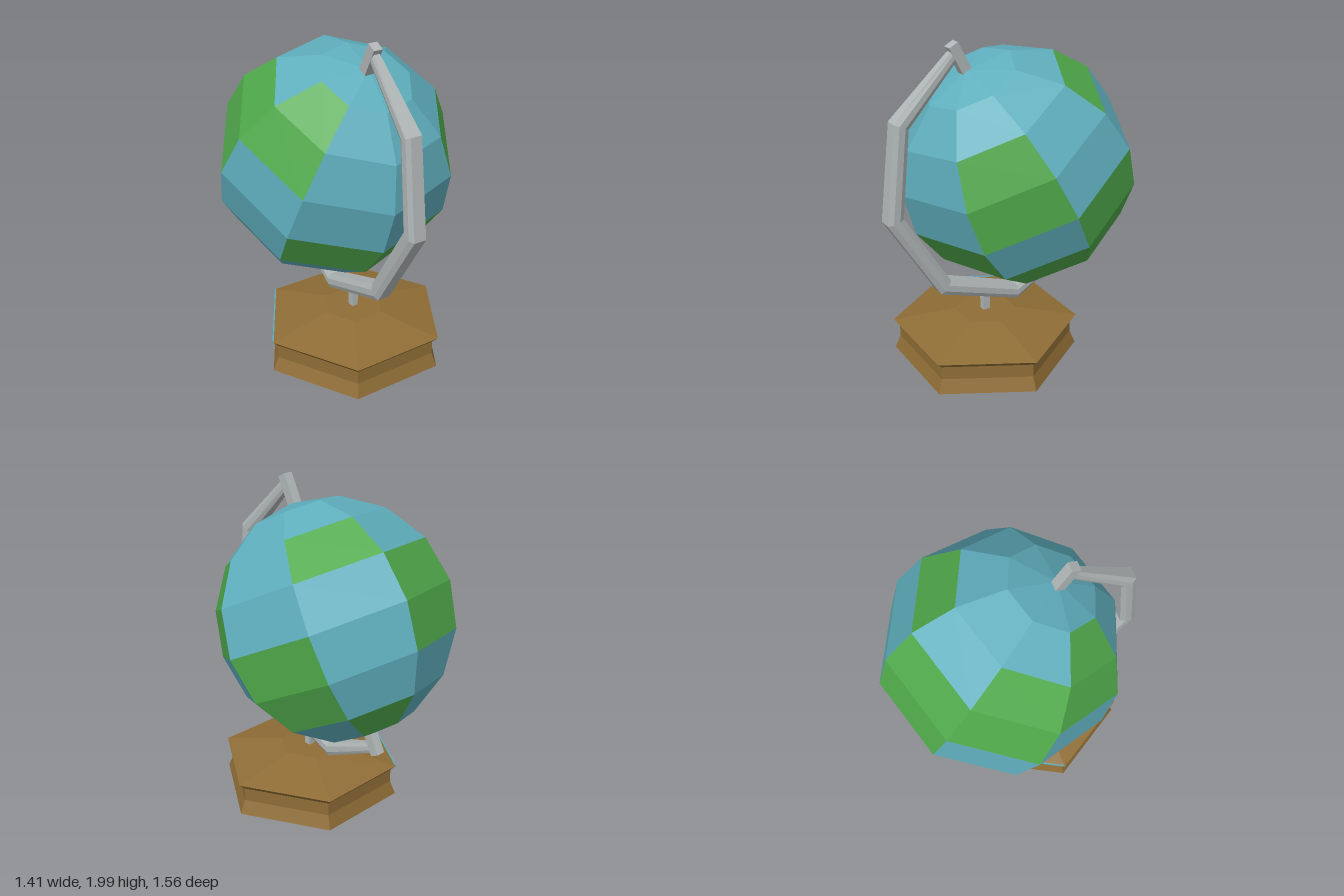
import * as THREE from 'three';

const material = (color) => new THREE.MeshStandardMaterial({ color, flatShading: true });
const RADIUS = 0.71, TILT = THREE.MathUtils.degToRad(27.5);
const CENTRE = new THREE.Vector3(0, 1.2, -0.073);
const BASE_Z = 0.14;

function add(parent, name, geometry, mat) {
  const mesh = new THREE.Mesh(geometry, mat);
  mesh.name = name;
  parent.add(mesh);
  return mesh;
}

// Tapered bar swept through [z, y, half width, half thickness] stations in the YZ plane
function sweepBar(stations) {
  const corners = [[1, -0.4], [1, 0.4], [0.7, 1], [-0.7, 1], [-1, 0.4], [-1, -0.4], [-0.7, -1], [0.7, -1]];
  const n = corners.length, last = stations.length - 1;
  const positions = [], index = [];
  const direction = (i) => {
    const [a, b] = [stations[i], stations[i + 1]];
    return new THREE.Vector2(b[0] - a[0], b[1] - a[1]).normalize();
  };
  stations.forEach(([z, y, w, h], i) => {
    const before = direction(Math.max(i - 1, 0));
    const after = direction(Math.min(i, last - 1));
    const t = before.clone().add(after).normalize();
    const miter = h / t.dot(after);
    for (const [u, v] of corners) positions.push(u * w, y + v * miter * t.x, z - v * miter * t.y);
  });
  for (let i = 0; i < last; i++) {
    for (let j = 0; j < n; j++) {
      const a = i * n + j, b = i * n + (j + 1) % n;
      index.push(a, b, b + n, a, b + n, a + n);
    }
  }
  // end caps
  for (let j = 1; j < n - 1; j++) {
    index.push(0, j + 1, j, last * n, last * n + j, last * n + j + 1);
  }
  const geometry = new THREE.BufferGeometry();
  geometry.setAttribute('position', new THREE.Float32BufferAttribute(positions, 3));
  geometry.setIndex(index);
  geometry.computeVertexNormals();
  return geometry;
}

export function createModel() {
  const group = new THREE.Group();
  const sea = material(0x5faebd), land = material(0x4fa84a);
  const wood = material(0x8f6d36), metal = material(0xb0b6b6);

  // Globe: 8 x 8 facets, sorted into sea and land (land rows listed per sector)
  const landRows = [[4], [2, 3, 5], [4, 5], [2, 6], [3, 4], [2, 3], [1, 2], [4]];
  const sphere = new THREE.SphereGeometry(RADIUS, 8, 8, THREE.MathUtils.degToRad(90 - 6));
  const faces = { sea: [], land: [] };
  for (let s = 0; s < 8; s++) {
    for (let r = 0; r < 8; r++) {
      const list = landRows[s].includes(r) ? faces.land : faces.sea;
      const b = r * 9 + s, a = b + 1, c = b + 9, d = c + 1;
      if (r > 0) list.push(a, b, d);
      if (r < 7) list.push(b, c, d);
    }
  }
  const globe = new THREE.Group();
  globe.name = 'globe';
  globe.position.copy(CENTRE);
  globe.rotation.set(TILT, 0, -0.025);
  add(globe, 'oceans', sphere.clone().setIndex(faces.sea), sea);
  add(globe, 'continents', sphere.clone().setIndex(faces.land), land);
  group.add(globe);

  // Pivot blocks at both poles
  const pivots = new THREE.Group();
  pivots.name = 'pivots';
  pivots.position.copy(CENTRE);
  pivots.rotation.x = TILT;
  for (const [name, y] of [['topPivot', 0.785], ['bottomPivot', -0.738]]) {
    add(pivots, name, new THREE.BoxGeometry(0.056, 0.19, 0.06), metal).position.y = y;
  }
  group.add(pivots);

  // Curved support arm, thinner at its ends
  add(group, 'arm', sweepBar([
    [0.31, 1.935, 0.025, 0.03],
    [0.665, 1.59, 0.05, 0.045],
    [0.73, 1.045, 0.055, 0.048],
    [0.43, 0.535, 0.055, 0.048],
    [-0.075, 0.34, 0.05, 0.045],
    [-0.425, 0.495, 0.025, 0.03],
  ]), metal);

  // Short post between arm and base
  add(group, 'post', new THREE.BoxGeometry(0.04, 0.16, 0.045), metal).position.set(0, 0.33, BASE_Z);

  // Hexagonal wooden base with a waist
  const profile = [[0, 0], [0.57, 0], [0.535, 0.085], [0.535, 0.17], [0.57, 0.205], [0.19, 0.275], [0, 0.275]]
    .map(([r, y]) => new THREE.Vector2(r, y));
  add(group, 'base', new THREE.LatheGeometry(profile, 6, Math.PI / 6), wood).position.z = BASE_Z;

  // Thin coloured trim on one rim edge
  const trim = add(group, 'rimTrim', new THREE.BoxGeometry(0.56, 0.012, 0.008), sea);
  trim.position.set(-0.425, 0.204, BASE_Z - 0.245);
  trim.rotation.y = Math.PI / 3;

  return group;
}
